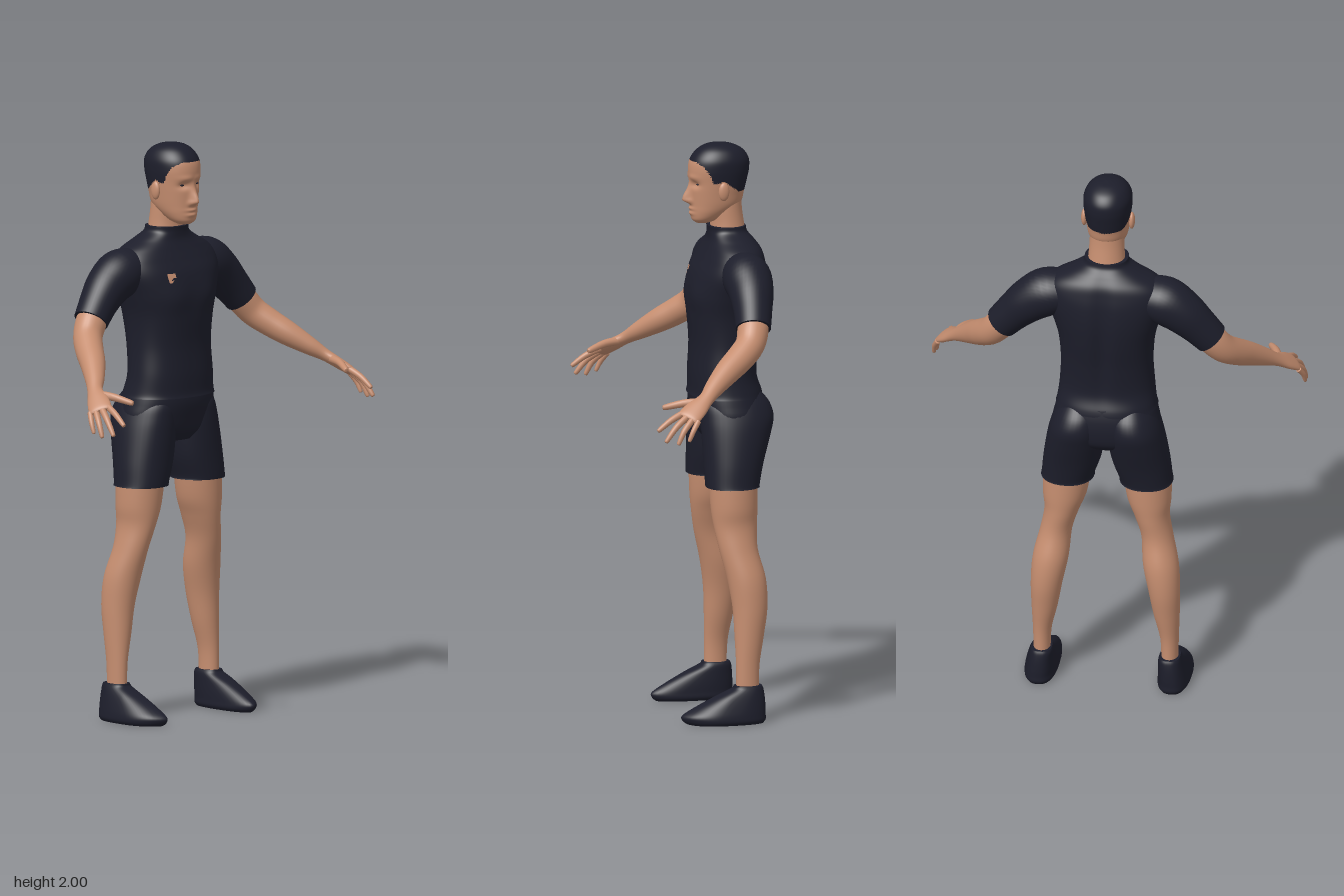
import * as THREE from 'three';

const skin = new THREE.MeshStandardMaterial({ color: 0xc68e70 });
skin.name = 'skin';
const dark = new THREE.MeshStandardMaterial({ color: 0x1d1e2b });
dark.name = 'darkNavy';

const bump = (v, c, w) => Math.exp(-(((v - c) / w) ** 2));
const V = (x, y, z) => new THREE.Vector3(x, y, z);

// Smooth interpolation of every column of a table of cross-sections
function refine(rows, steps) {
  const out = [], last = rows.length - 1;
  for (let i = 0; i < last; i++) {
    const [a, b, c, d] = [rows[Math.max(i - 1, 0)], rows[i], rows[i + 1], rows[Math.min(i + 2, last)]];
    for (let k = 0; k < steps; k++) {
      const t = k / steps;
      out.push(b.map((p, j) => p + 0.5 * t * (c[j] - a[j] + t * (2 * a[j] - 5 * p + 4 * c[j] - d[j]
        + t * (3 * (p - c[j]) + d[j] - a[j])))));
    }
  }
  out.push(rows[last]);
  return out;
}

// Skin over rings of points, with flat caps; the rule picks faces for the second material
function skinRings(rings, name, mats, rule) {
  const n = rings[0].length, pts = rings.flat(), lists = [[], []];
  const tri = (a, b, c) => {
    const m = pts[a].clone().add(pts[b]).add(pts[c]).divideScalar(3);
    lists[rule && rule(m) ? 1 : 0].push(a, b, c);
  };
  for (let i = 0; i < rings.length - 1; i++) {
    for (let j = 0; j < n; j++) {
      const k = (j + 1) % n, a = i * n + j, b = a + n, c = i * n + k, d = c + n;
      tri(a, b, c);
      tri(c, b, d);
    }
  }
  for (const [ring, flip] of [[rings[0], false], [rings[rings.length - 1], true]]) {
    const base = pts.length;
    const mid = ring.reduce((s, p) => s.add(p), V(0, 0, 0)).divideScalar(n);
    pts.push(...ring, mid);
    for (let j = 0; j < n; j++) {
      const a = base + j, b = base + (j + 1) % n;
      flip ? tri(base + n, b, a) : tri(base + n, a, b);
    }
  }
  const geo = new THREE.BufferGeometry().setFromPoints(pts);
  geo.setIndex(lists.flat());
  if (rule) {
    geo.addGroup(0, lists[0].length, 0);
    geo.addGroup(lists[0].length, lists[1].length, 1);
  }
  geo.computeVertexNormals();
  const mesh = new THREE.Mesh(geo, mats);
  mesh.name = name;
  return mesh;
}

// Level sections, rising: [x, y, front z, back z, half width]
function stack(name, rows, mats, { s = 1, n = 40, steps = 5, p = 2, shape, rule } = {}) {
  const rings = refine(rows, steps).map(([x, y, f, b, a]) => Array.from({ length: n }, (_, j) => {
    const t = (j / n) * 2 * Math.PI, c = Math.cos(t), d = Math.sin(t);
    const q = V(s * x + a * Math.sign(c) * Math.abs(c) ** (2 / p), y,
      (f + b) / 2 + (f - b) / 2 * Math.sign(d) * Math.abs(d) ** (2 / p));
    if (shape) shape(q, d);
    return q;
  }));
  return skinRings(rings, name, mats, rule);
}

// Sections along a path: [x, y, z, half width, half thickness]
function limb(name, rows, mat, s, n = 28, steps = 5) {
  const r = refine(rows, steps).map(([x, ...rest]) => [x * s, ...rest]);
  const at = i => V(...r[Math.max(0, Math.min(i, r.length - 1))].slice(0, 3));
  const rings = r.map((row, i) => {
    const T = at(i + 1).sub(at(i - 1)).normalize();
    const U = V(0.66 * s, -0.37, -0.66);
    U.addScaledVector(T, -U.dot(T)).normalize();
    const W = U.clone().cross(T);
    return Array.from({ length: n }, (_, j) => {
      const t = (j / n) * 2 * Math.PI;
      return at(i).addScaledVector(U, row[3] * Math.cos(t)).addScaledVector(W, row[4] * Math.sin(t));
    });
  });
  return skinRings(rings, name, mat);
}

function ball(name, mat, pos, scale) {
  const mesh = new THREE.Mesh(new THREE.SphereGeometry(1, 20, 14), mat);
  mesh.position.set(...pos);
  mesh.scale.set(...scale);
  mesh.name = name;
  return mesh;
}

// Nose, eye sockets, brow and lips pressed into the front of the head
function sculptFace(q, d) {
  if (d <= 0) return;
  const ax = Math.abs(q.x), y = q.y;
  const nose = y > 1.803 ? bump(y, 1.803, 0.04) : bump(y, 1.803, 0.012);
  q.z += 0.029 * nose * bump(q.x, 0, 0.013) + 0.006 * bump(y, 1.798, 0.01) * bump(ax, 0.014, 0.008);
  q.z -= 0.011 * bump(ax, 0.033, 0.018) * bump(y, 1.86, 0.012);
  q.z += 0.004 * bump(ax, 0.03, 0.025) * bump(y, 1.885, 0.01);
  q.z += 0.007 * bump(q.x, 0, 0.022) * (bump(y, 1.773, 0.006) + bump(y, 1.756, 0.007));
}

// Hairline height along z: brow, temple, sideburn, over the ear, nape
const hairline = [[0.1, 1.945], [-0.01, 1.942], [-0.035, 1.925], [-0.055, 1.895], [-0.065, 1.868], [-0.085, 1.868],
  [-0.1, 1.878], [-0.13, 1.855], [-0.16, 1.835], [-0.3, 1.825]];
function isHair({ y, z }) {
  const i = hairline.findIndex(h => h[0] <= z);
  const [a, b] = [hairline[i - 1], hairline[i]];
  return y > a[1] + (b[1] - a[1]) * (z - a[0]) / (b[0] - a[0]);
}

export function createModel() {
  const model = new THREE.Group();
  model.name = 'standingMan';

  // Head with hair, neck
  const head = new THREE.Group();
  head.name = 'head';
  model.add(head);
  head.add(stack('face', [
    [0, 1.722, -0.02, -0.07, 0.022], [0, 1.735, -0.006, -0.1, 0.043], [0, 1.76, -0.003, -0.14, 0.059],
    [0, 1.79, -0.002, -0.178, 0.069], [0, 1.83, 0, -0.19, 0.075], [0, 1.87, 0.002, -0.2, 0.08],
    [0, 1.91, 0.005, -0.208, 0.084], [0, 1.945, -0.002, -0.206, 0.082], [0, 1.975, -0.025, -0.185, 0.066],
    [0, 1.993, -0.055, -0.15, 0.04], [0, 2, -0.09, -0.11, 0.01],
  ], [skin, dark], { n: 96, steps: 9, p: 2.1, shape: sculptFace, rule: isHair }));
  head.add(stack('neck', [[0, 1.66, -0.07, -0.2, 0.07], [0, 1.72, -0.073, -0.19, 0.063],
    [0, 1.77, -0.07, -0.183, 0.06], [0, 1.82, -0.07, -0.18, 0.058]], skin));

  // Shirt with a small cut-out on the chest and a groove down the spine
  model.add(stack('shirt', [
    [0, 1.12, 0.003, -0.247, 0.177], [0, 1.14, 0, -0.243, 0.172], [0, 1.2, 0, -0.226, 0.165],
    [0, 1.3, -0.004, -0.235, 0.16], [0, 1.4, 0.003, -0.252, 0.168], [0, 1.48, 0.004, -0.26, 0.19],
    [0, 1.55, -0.01, -0.258, 0.213], [0, 1.6, -0.033, -0.25, 0.212], [0, 1.635, -0.05, -0.24, 0.182],
    [0, 1.665, -0.062, -0.22, 0.125], [0, 1.69, -0.064, -0.2, 0.083], [0, 1.71, -0.062, -0.195, 0.076],
  ], [dark, skin], {
    n: 112, steps: 8, p: 2.3,
    shape: (q, d) => {
      if (d < 0) q.z += 0.014 * bump(q.x, 0, 0.03) * bump(q.y, 1.42, 0.2);
      else q.z += 0.006 * bump(Math.abs(q.x), 0.08, 0.05) * bump(q.y, 1.47, 0.05);
    },
    rule: m => m.z > -0.1 && m.x > -0.1 && m.x < -0.07 && m.y > 1.525 && m.y < 1.555
      && (m.y > 1.543 || m.x < -0.086),
  }));

  // Shorts
  model.add(stack('shortsHips', [[0, 0.965, -0.05, -0.2, 0.1], [0, 1, -0.025, -0.24, 0.165],
    [0, 1.05, -0.012, -0.252, 0.187], [0, 1.1, -0.003, -0.25, 0.179], [0, 1.145, -0.004, -0.24, 0.168]],
  dark, { n: 64, p: 2.3 }));

  for (const [side, s] of [['left', 1], ['right', -1]]) {
    // Face details
    head.add(ball(side + 'Ear', skin, [s * 0.083, 1.84, -0.1], [0.011, 0.032, 0.019]));
    head.add(ball(side + 'Eye', dark, [s * 0.033, 1.861, -0.0185], [0.011, 0.0035, 0.004]));

    // Leg
    const leg = new THREE.Group();
    leg.name = side + 'Leg';
    model.add(leg);
    leg.add(stack('shortsLeg', [[0.137, 0.815, -0.023, -0.21, 0.093], [0.135, 0.83, -0.022, -0.211, 0.092],
      [0.12, 0.9, -0.02, -0.228, 0.1], [0.106, 0.99, -0.017, -0.256, 0.1], [0.098, 1.05, -0.016, -0.27, 0.094],
      [0.09, 1.1, -0.02, -0.257, 0.083], [0.088, 1.14, -0.05, -0.225, 0.06]], dark, { s, p: 2.15 }));
    leg.add(stack('bareLeg', [[0.223, 0.1, -0.108, -0.187, 0.029], [0.222, 0.2, -0.108, -0.19, 0.032],
      [0.213, 0.3, -0.105, -0.207, 0.045], [0.205, 0.4, -0.1, -0.222, 0.055], [0.192, 0.5, -0.084, -0.219, 0.062],
      [0.176, 0.6, -0.06, -0.195, 0.055], [0.157, 0.68, -0.045, -0.197, 0.061],
      [0.147, 0.75, -0.037, -0.201, 0.077], [0.138, 0.86, -0.032, -0.203, 0.085]], skin, { s }));
    leg.add(stack('shoe', [[0.232, 0, 0.07, -0.2, 0.051], [0.232, 0.012, 0.086, -0.208, 0.058],
      [0.232, 0.03, 0.088, -0.208, 0.057], [0.23, 0.055, 0.047, -0.208, 0.053],
      [0.227, 0.09, -0.025, -0.206, 0.046], [0.224, 0.118, -0.09, -0.202, 0.04], [0.224, 0.13, -0.1, -0.197, 0.036]],
    dark, {
      s, p: 2.6, shape: q => {
        const f = Math.max(0, q.z + 0.08) / 0.17;
        q.z -= f * Math.max(0, q.x * s - 0.21) * 0.7;
      },
    }));

    // Arm and hand
    const arm = new THREE.Group();
    arm.name = side + 'Arm';
    model.add(arm);
    arm.add(limb('sleeve', [[0.12, 1.575, -0.15, 0.07, 0.06], [0.2, 1.56, -0.15, 0.085, 0.084],
      [0.265, 1.52, -0.15, 0.078, 0.078], [0.32, 1.465, -0.142, 0.067, 0.067],
      [0.365, 1.412, -0.132, 0.061, 0.06]], dark, s, 40));
    arm.add(limb('bareArm', [[0.33, 1.45, -0.14, 0.052, 0.052], [0.367, 1.406, -0.13, 0.054, 0.053],
      [0.402, 1.362, -0.11, 0.051, 0.05], [0.437, 1.325, -0.067, 0.049, 0.047], [0.475, 1.287, -0.012, 0.044, 0.042],
      [0.522, 1.245, 0.045, 0.034, 0.031], [0.56, 1.213, 0.085, 0.027, 0.021],
      [0.586, 1.186, 0.125, 0.038, 0.018], [0.608, 1.163, 0.158, 0.041, 0.014],
      [0.614, 1.156, 0.167, 0.034, 0.008]], skin, s));
    const digits = {
      thumb: [[0.565, 1.203, 0.105], [0.547, 1.198, 0.165], [0.521, 1.182, 0.224], 0.015],
      indexFinger: [[0.586, 1.175, 0.168], [0.595, 1.15, 0.22], [0.6, 1.118, 0.264], 0.012],
      middleFinger: [[0.603, 1.166, 0.16], [0.622, 1.13, 0.208], [0.63, 1.085, 0.244], 0.012],
      ringFinger: [[0.618, 1.157, 0.147], [0.638, 1.12, 0.183], [0.645, 1.077, 0.205], 0.0115],
      littleFinger: [[0.63, 1.15, 0.132], [0.644, 1.118, 0.153], [0.648, 1.086, 0.168], 0.01],
    };
    for (const [name, [a, b, c, r]] of Object.entries(digits)) {
      const tip = V(...c).lerp(V(...b), -0.09).toArray();
      arm.add(limb(name, [[...a, r, r], [...b, r * 0.9, r * 0.9], [...c, r * 0.65, r * 0.65],
        [...tip, r * 0.2, r * 0.2]], skin, s, 12, 4));
    }
  }
  return model;
}
